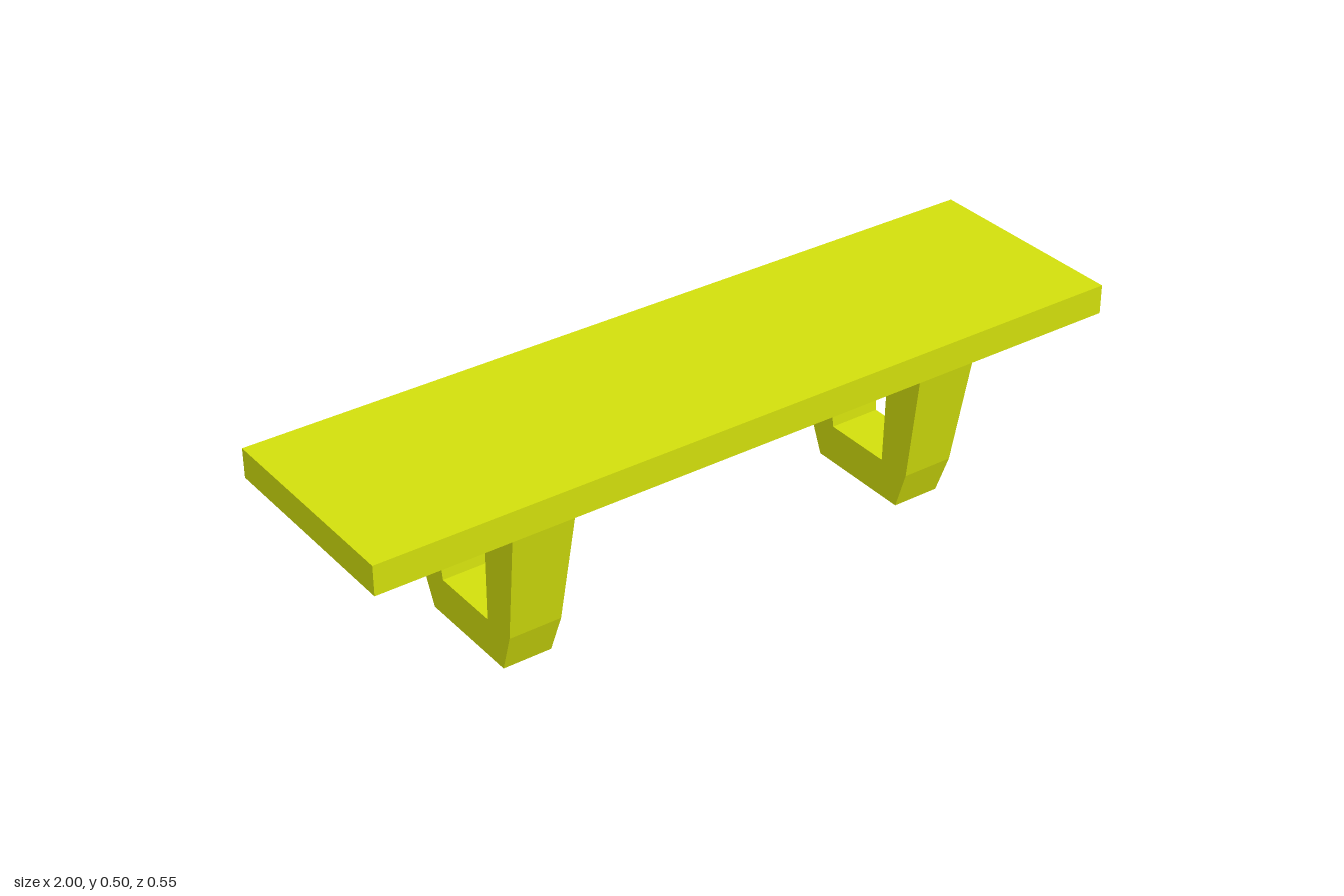
import * as THREE from 'three';

const PLANK_BOTTOM = 0.425;

// U-shaped leg frame: profile in z/y, extruded along x and widening upwards
function legGeometry() {
  const half = [[0.146, 0], [0.184, 0.105], [0.238, PLANK_BOTTOM], [0.12, PLANK_BOTTOM], [0.094, 0.105]];
  const mirrored = half.map(([z, y]) => [-z, y]).reverse();
  const shape = new THREE.Shape([...half, ...mirrored].map(([z, y]) => new THREE.Vector2(z, y)));
  const geometry = new THREE.ExtrudeGeometry(shape, { depth: 2, bevelEnabled: false });
  geometry.translate(0, 0, -1).rotateY(-Math.PI / 2);

  const position = geometry.attributes.position;
  for (let i = 0; i < position.count; i++) {
    const halfWidth = THREE.MathUtils.lerp(0.063, 0.081, position.getY(i) / PLANK_BOTTOM);
    position.setX(i, position.getX(i) * halfWidth);
  }
  geometry.computeVertexNormals();
  return geometry;
}

export function createModel() {
  const bench = new THREE.Group();
  bench.name = 'bench';
  const material = new THREE.MeshStandardMaterial({ color: 0xd2df0c, flatShading: true });

  // Seat plank
  const seat = new THREE.Mesh(new THREE.BoxGeometry(2, 0.075, 0.552), material);
  seat.name = 'seat';
  seat.position.y = PLANK_BOTTOM + 0.0375;
  bench.add(seat);

  // Pair of leg frames
  const geometry = legGeometry();
  for (const [name, x] of [['leftLeg', 0.56], ['rightLeg', -0.56]]) {
    const leg = new THREE.Mesh(geometry, material);
    leg.name = name;
    leg.position.x = x;
    bench.add(leg);
  }
  return bench;
}
